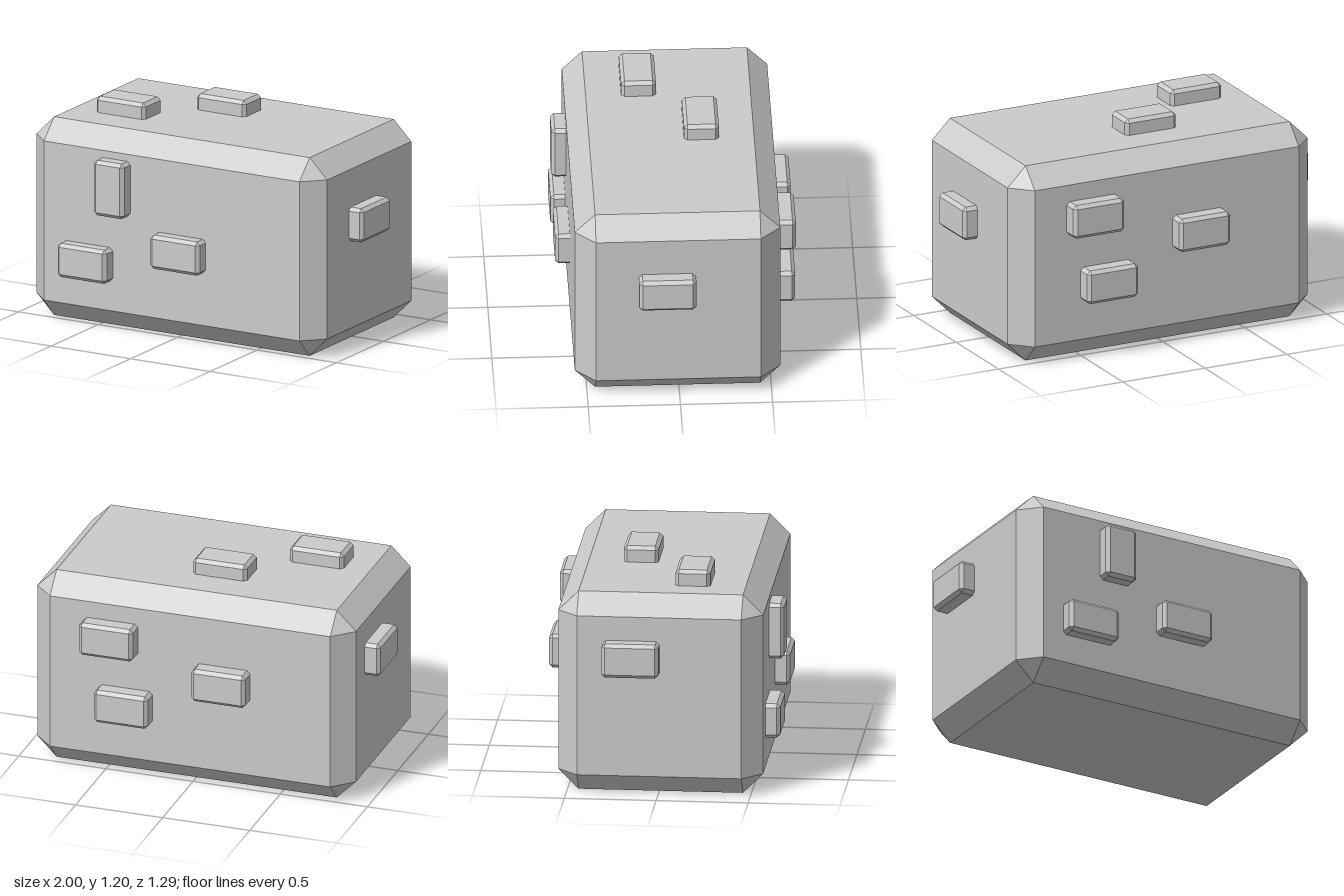
import * as THREE from 'three';
import { ConvexGeometry } from 'three/addons/geometries/ConvexGeometry.js';

const material = new THREE.MeshStandardMaterial({ color: 0xcccccc, flatShading: true });

// Box with every edge cut at 45 degrees and a triangle at every corner
function chamferedBox(width, height, depth, chamfer) {
  const half = [width / 2, height / 2, depth / 2];
  const points = [];
  for (const sx of [-1, 1]) for (const sy of [-1, 1]) for (const sz of [-1, 1]) {
    const sign = [sx, sy, sz];
    for (let face = 0; face < 3; face++) {
      // Each corner gives one point on each of its three faces
      points.push(new THREE.Vector3(
        ...half.map((h, axis) => sign[axis] * (axis === face ? h : h - chamfer))));
    }
  }
  return new ConvexGeometry(points);
}

export function createModel() {
  const model = new THREE.Group();
  model.name = 'studdedBlock';

  function add(name, geometry, x, y, z) {
    const mesh = new THREE.Mesh(geometry, material);
    mesh.name = name;
    mesh.position.set(x, y, z);
    model.add(mesh);
  }

  // Main block
  add('body', chamferedBox(1.828, 1.115, 1.114, 0.11), 0, 0.5575, 0.007);

  // Raised bricks, half sunk into the faces
  const long = 0.31, short = 0.19, thick = 0.17, bevel = 0.019;
  const wide = chamferedBox(long, short, thick, bevel);
  const tall = chamferedBox(short, long, thick, bevel);
  const flat = chamferedBox(long, thick, short, bevel);
  const side = chamferedBox(thick, short, long, bevel);

  const front = 0.644 - thick / 2;
  add('frontBrickTall', tall, -0.355, 0.81, front);
  add('frontBrickLow', wide, -0.525, 0.37, front);
  add('frontBrickMiddle', wide, 0.06, 0.5, front);

  const back = -0.644 + thick / 2;
  add('backBrickHigh', wide, 0.455, 0.815, back);
  add('backBrickMiddle', wide, -0.19, 0.636, back);
  add('backBrickLow', wide, 0.37, 0.427, back);

  const top = 1.203 - thick / 2;
  add('topBrickFront', flat, -0.505, top, 0.167);
  add('topBrickBack', flat, -0.063, top, -0.155);

  add('leftBrick', side, 0.998 - thick / 2, 0.697, 0.067);
  add('rightBrick', side, -1 + thick / 2, 0.776, -0.145);

  return model;
}
